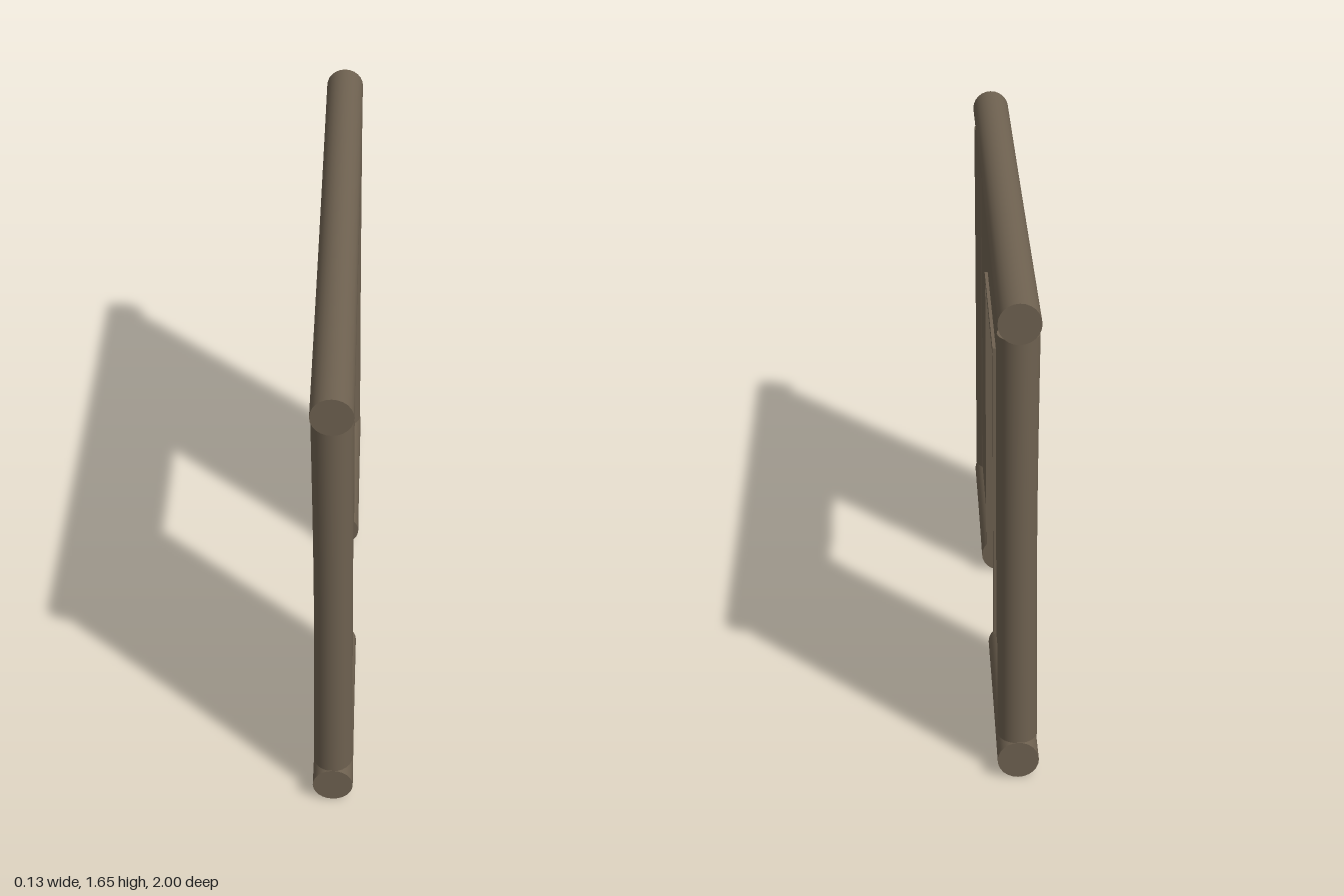
import * as THREE from 'three';

export function createModel() {
  const group = new THREE.Group();
  const wood = new THREE.MeshStandardMaterial({ color: 0x6e6150 });
  wood.name = 'weathered wood';

  const add = (name, geometry, x, y, z) => {
    const mesh = new THREE.Mesh(geometry, wood);
    mesh.name = name;
    mesh.position.set(x, y, z);
    group.add(mesh);
    return mesh;
  };

  // Hand-hewn log: slightly slimmer and bowed towards the middle
  const log = (length, radius, waist, bow) => {
    const geometry = new THREE.CylinderGeometry(radius, radius, length, 24, 8);
    const p = geometry.attributes.position;
    for (let i = 0; i < p.count; i++) {
      const bulge = Math.cos((p.getY(i) / length) * Math.PI);
      const s = 1 - waist * bulge;
      p.setX(i, p.getX(i) * s + bow * bulge);
      p.setZ(i, p.getZ(i) * s);
    }
    return geometry;
  };

  // Wall panel in the yz plane with a doorway cut up from its lower edge
  const thickness = 0.08;
  const outline = new THREE.Shape();
  [[-0.94, 0.07], [-0.31, 0.07], [-0.31, 1.19], [0.31, 1.19], [0.31, 0.07],
    [0.94, 0.07], [0.94, 1.585], [-0.94, 1.585]].forEach(([z, y], i) =>
    i ? outline.lineTo(z, y) : outline.moveTo(z, y));
  outline.closePath();
  const panel = new THREE.ExtrudeGeometry(outline, { depth: thickness, bevelEnabled: false });
  panel.translate(0, 0, -thickness / 2);
  panel.rotateY(Math.PI / 2);
  add('wallPanel', panel, 0, 0, 0);

  // Top beam over the full length
  add('topBeam', log(2, 0.065, 0.01, 0), 0, 1.585, 0).rotation.x = Math.PI / 2;

  for (const side of [1, -1]) {
    const label = side > 0 ? 'front' : 'back';
    // Sill logs stop at the doorway
    add(label + 'SillBeam', log(0.7, 0.066, 0.01, 0), 0, 0.066, side * 0.65).rotation.x = Math.PI / 2;
    // End posts between the beams
    add(label + 'Post', log(1.4, 0.064, 0.05, 0.002), 0, 0.83, side * 0.935);
    // Door jambs
    add(label + 'DoorJamb', new THREE.BoxGeometry(0.1, 1.13, 0.025), 0, 0.635, side * 0.3125);
  }

  // Door head across the opening
  add('doorHead', new THREE.BoxGeometry(0.102, 0.025, 0.65), 0, 1.1895, 0);

  return group;
}
